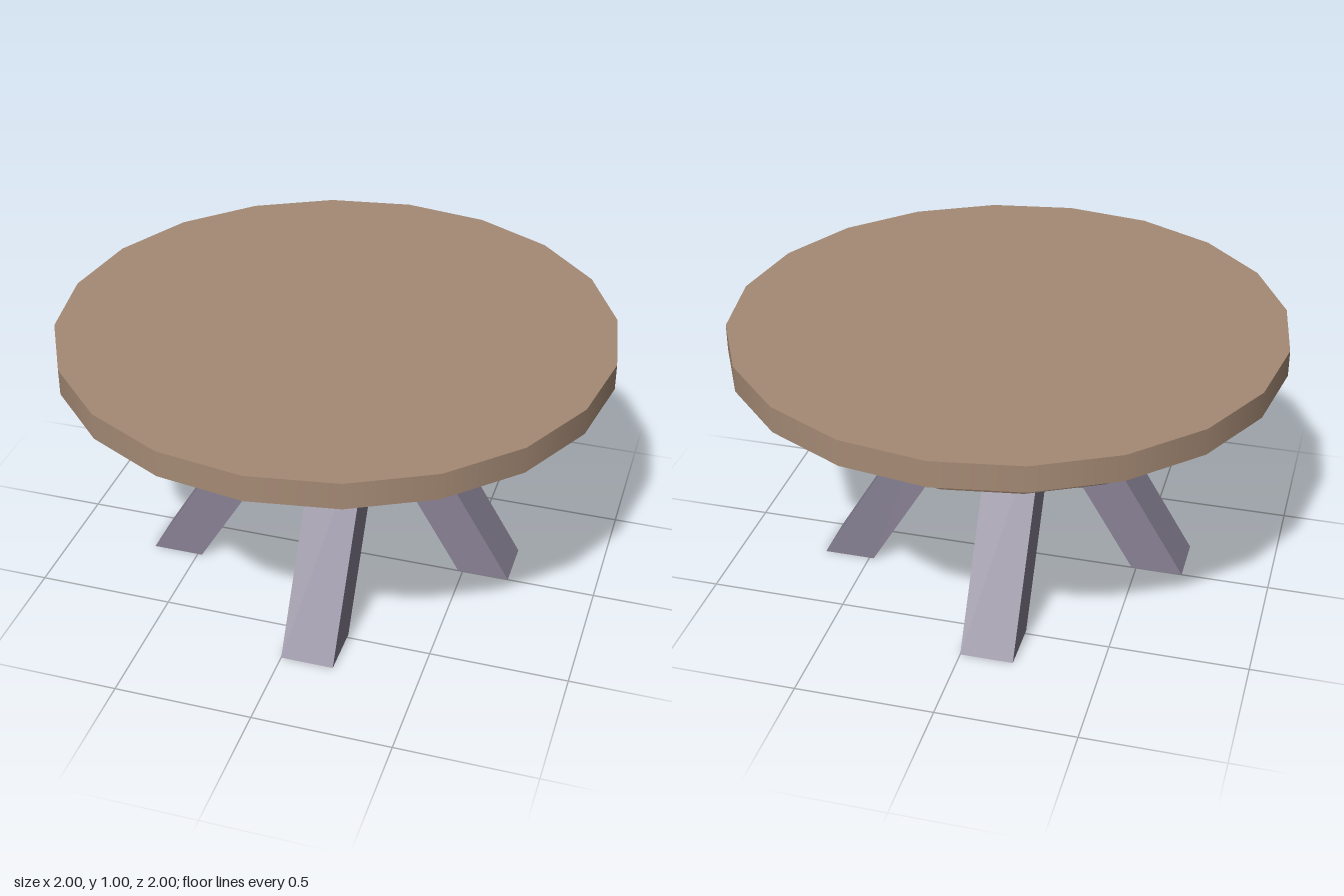
import * as THREE from 'three';

const TOP_BASE = 0.904, APRON_BASE = 0.807, LEG = 0.192, SIDES = 20;

export function createModel() {
  const wood = new THREE.MeshStandardMaterial({ color: 0xa58a75 });
  wood.name = 'brown wood';
  const legPaint = new THREE.MeshStandardMaterial({ color: 0x878093 });
  legPaint.name = 'grey violet';

  const table = new THREE.Group();
  table.name = 'roundTable';

  // Round disc with a vertex on each axis
  const disc = (name, topRadius, bottomRadius, y0, y1) => {
    const mesh = new THREE.Mesh(
      new THREE.CylinderGeometry(topRadius, bottomRadius, y1 - y0, SIDES), wood);
    mesh.position.y = (y0 + y1) / 2;
    mesh.name = name;
    table.add(mesh);
  };
  disc('tableTop', 1, 1, TOP_BASE, 1);
  disc('apron', 0.9, 0.857, APRON_BASE, TOP_BASE);

  // Slanted square legs, each filling one quadrant under the apron, set as a pinwheel
  const profile = new THREE.Shape([
    new THREE.Vector2(0.675 - LEG, 0),
    new THREE.Vector2(0.675, 0),
    new THREE.Vector2(LEG, APRON_BASE),
    new THREE.Vector2(0, APRON_BASE),
  ]);
  const legGeometry = new THREE.ExtrudeGeometry(profile, { depth: LEG, bevelEnabled: false });
  legGeometry.translate(0, 0, -LEG);
  ['leftLeg', 'backLeg', 'rightLeg', 'frontLeg'].forEach((name, i) => {
    const leg = new THREE.Mesh(legGeometry, legPaint);
    leg.rotation.y = i * Math.PI / 2;
    leg.name = name;
    table.add(leg);
  });

  return table;
}
